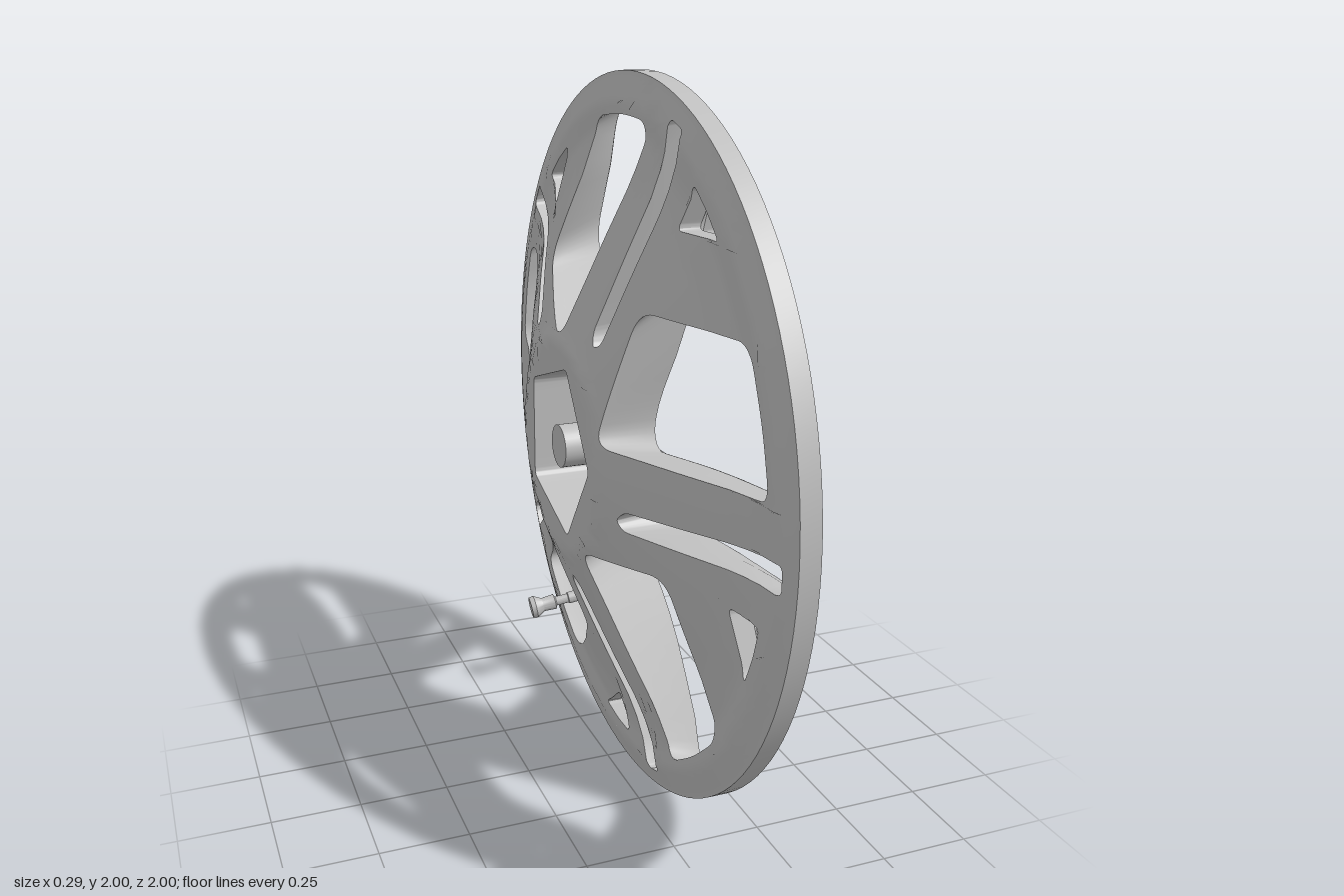
import * as THREE from 'three';
import { toCreasedNormals } from 'three/addons/utils/BufferGeometryUtils.js';

const TAU = Math.PI * 2, STEP = TAU / 5;

// Depth of the dished outer face and of the conical inner face, by radius
const FRONT = [[0, .05], [.27, .05], [.33, .064], [.4, .085], [.5, .106], [.6, .121], [.8, .139], [.94, .136], [1, .115]];
const BACK = [[0, -.15], [.3, -.15], [.33, -.135], [.45, -.092], [.6, -.04], [.75, .015], [.85, .04], [.92, .037], [1, .06]];

function depth(profile, r) {
  for (let i = 1; i < profile.length; i++) {
    const [r0, d0] = profile[i - 1], [r1, d1] = profile[i];
    if (r <= r1) return d0 + (d1 - d0) * (r - r0) / (r1 - r0);
  }
  return profile[profile.length - 1][1];
}

// Closed outline with rounded corners; equal corner counts give equal point counts
function outline(corners, radius) {
  const pts = [], n = corners.length, v = corners.map(c => new THREE.Vector2(...c));
  const toward = (a, b) => a.clone().lerp(b, Math.min(radius / a.distanceTo(b), .42));
  for (let i = 0; i < n; i++) {
    const a = v[(i + n - 1) % n], b = v[i], c = v[(i + 1) % n];
    const start = toward(b, a), end = toward(b, c), next = toward(c, b);
    const bend = new THREE.QuadraticBezierCurve(start, b, end);
    pts.push(...bend.getPoints(7));
    for (let k = 1; k < 8; k++) pts.push(end.clone().lerp(next, k / 8));
  }
  return pts;
}

function circle(x, y, r, n) {
  return Array.from({ length: n }, (_, i) =>
    new THREE.Vector2(x + r * Math.cos(i / n * TAU), y + r * Math.sin(i / n * TAU)));
}

function spin(pts, angle) {
  const o = new THREE.Vector2();
  return pts.map(p => p.clone().rotateAround(o, angle));
}

// Pierced disc, refined and then bent to a depth profile
function face(contour, holes, profile, facing) {
  const all = [contour, ...holes].flat();
  let tris = THREE.ShapeUtils.triangulateShape(contour, holes).map(t => t.map(i => all[i]));
  const mid = (a, b) => a.clone().add(b).multiplyScalar(.5);
  const LIMIT = .08;
  for (let pass = 0; pass < 8; pass++) {
    const next = [];
    for (const [p, q, s] of tris) {
      const t = [p, q, s], long = t.map((a, i) => a.distanceTo(t[(i + 1) % 3]) > LIMIT);
      const count = long.filter(Boolean).length;
      if (count === 0) { next.push(t); continue; }
      const m = t.map((a, i) => mid(a, t[(i + 1) % 3]));
      if (count === 3) {
        next.push([t[0], m[0], m[2]], [m[0], t[1], m[1]], [m[2], m[1], t[2]], m);
        continue;
      }
      // turn the triangle so that its first edge is split (and its second, if two are)
      const k = count === 1 ? long.indexOf(true) : (long.indexOf(false) + 1) % 3;
      const a = t[k], b = t[(k + 1) % 3], c = t[(k + 2) % 3], ab = m[k], bc = m[(k + 1) % 3];
      if (count === 1) next.push([a, ab, c], [ab, b, c]);
      else next.push([ab, b, bc], [a, ab, bc], [a, bc, c]);
    }
    tris = next;
  }
  const pos = [], nor = [], h = .015;
  for (const t of tris) {
    const ccw = (t[1].x - t[0].x) * (t[2].y - t[0].y) - (t[1].y - t[0].y) * (t[2].x - t[0].x) > 0;
    for (const p of (ccw === facing > 0 ? t : [t[0], t[2], t[1]])) {
      const r = p.length();
      const slope = (depth(profile, r + h) - depth(profile, Math.max(r - h, 0))) / (2 * h);
      const n = new THREE.Vector3(-slope * p.x / (r || 1), -slope * p.y / (r || 1), 1).normalize().multiplyScalar(facing);
      pos.push(p.x, p.y, depth(profile, r));
      nor.push(n.x, n.y, n.z);
    }
  }
  const g = new THREE.BufferGeometry();
  g.setAttribute('position', new THREE.Float32BufferAttribute(pos, 3));
  g.setAttribute('normal', new THREE.Float32BufferAttribute(nor, 3));
  return g;
}

// Wall of an opening; steps are [outline blend, depth blend] from outer to inner face
function wall(front, back, steps, frontProfile = FRONT) {
  const pos = [], idx = [], n = front.length;
  for (const [s, d] of steps) {
    for (let j = 0; j < n; j++) {
      const f = front[j], b = back[j], p = f.clone().lerp(b, s);
      const z0 = depth(frontProfile, f.length()), z1 = depth(BACK, b.length());
      pos.push(p.x, p.y, z0 + (z1 - z0) * d);
    }
  }
  for (let i = 0; i < steps.length - 1; i++) {
    for (let j = 0; j < n; j++) {
      const a = i * n + j, b = i * n + (j + 1) % n;
      idx.push(a, b, a + n, b, b + n, a + n);
    }
  }
  const g = new THREE.BufferGeometry();
  g.setAttribute('position', new THREE.Float32BufferAttribute(pos, 3));
  g.setIndex(idx);
  return toCreasedNormals(g, .6);
}

// Turned part whose axis is the wheel axle
function turned(points, segments = 32) {
  const g = new THREE.LatheGeometry(points.map(p => new THREE.Vector2(...p)), segments);
  return toCreasedNormals(g.rotateX(Math.PI / 2), .6);
}

// One set of openings; it repeats five times around the wheel
const OPENINGS = [
  {
    name: 'windowWall', radius: [.085, .06],
    front: [[-.203, .037], [-.337, .56], [-.765, .535], [-.895, .34], [-.95, .09]],
    back: [[-.289, .086], [-.353, .444], [-.775, .444], [-.85, .27], [-.893, .107]],
    steps: [[0, 0], [.1, .05], [.8, .8], [1, 1]],
  },
  {
    name: 'spokeSlotWall', radius: [.03, .02],
    front: [[-.97, -.125], [-.38, -.13], [-.33, -.075], [-.4, -.012], [-.97, .005]],
    back: [[-.95, -.085], [-.39, -.115], [-.365, -.09], [-.4, -.06], [-.95, -.01]],
    steps: [[0, 0], [.6, .3], [1, 1]],
  },
  {
    name: 'trianglePocketWall', radius: [.025, .02],
    front: [[-.945, -.155], [-.915, -.31], [-.8, -.5], [-.711, -.177]],
    back: [[-.866, -.2], [-.84, -.285], [-.8, -.37], [-.743, -.193]],
    steps: [[0, 0], [.15, .35], [1, .5], [1, 1]],
  },
];

export function createModel() {
  const metal = new THREE.MeshStandardMaterial({ color: 0xc0c0c0, side: THREE.DoubleSide });
  metal.name = 'silver';
  const wheel = new THREE.Group();
  wheel.name = 'wheel';
  const add = (name, geometry) => {
    const mesh = new THREE.Mesh(geometry, metal);
    mesh.name = name;
    wheel.add(mesh);
    return mesh;
  };

  const rim = circle(0, 0, 1, 120), frontHoles = [], backHoles = [];

  // Walls of the windows, spoke slots and triangular pockets
  for (const o of OPENINGS) {
    const f = outline(o.front, o.radius[0]), b = outline(o.back, o.radius[1]);
    const g = wall(f, b, o.steps);
    for (let k = 0; k < 5; k++) {
      add(o.name, g).rotation.z = k * STEP;
      frontHoles.push(spin(f, k * STEP));
      backHoles.push(spin(b, k * STEP));
    }
  }

  // Bolt pockets with nuts
  const nut = turned([[.058, .05], [.05, .044], [.046, -.02], [.036, -.02], [.036, .03], [.03, .038],
    [.02, .038], [.017, .015], [.009, .015], [.009, .025], [0, .025]], 24);
  for (let k = 0; k < 5; k++) {
    const a = -Math.PI / 2 + k * STEP, x = .205 * Math.cos(a), y = .205 * Math.sin(a);
    add('boltPocket', nut).position.set(x, y, 0);
    frontHoles.push(circle(x, y, .058, 24));
  }

  // Pentagonal hollow behind the hub
  const corners = Array.from({ length: 5 }, (_, k) => [.25 * Math.cos(Math.PI / 5 + k * STEP), .25 * Math.sin(Math.PI / 5 + k * STEP)]);
  const hollow = outline(corners, .02), floor = [[0, .02], [1, .02]];
  backHoles.push(hollow);
  add('hubHollowWall', wall(hollow, hollow, [[0, 0], [1, 1]], floor));
  add('hubHollowFloor', face(hollow, [], floor, -1));

  // Outer face, inner face and rim edge
  add('outerFace', face(rim, frontHoles, FRONT, 1));
  add('innerFace', face(rim, backHoles, BACK, -1));
  const edge = [...rim].reverse();
  add('rimEdge', wall(edge, edge, [[0, 0], [1, 1]]));

  // Centre cap and the stub behind it
  add('centreCap', turned([[.112, .03], [.112, .052], [.104, .057], [.06, .062], [0, .064]], 40));
  add('centreStub', turned([[0, -.145], [.06, -.145], [.06, .03]]));

  // Valve, leaning slightly towards the axle
  const valve = add('valve', turned([[0, -.075], [.034, -.075], [.036, -.06], [.022, -.035], [.025, .005],
    [.015, .01], [.015, .05], [.019, .052], [.019, .085], [0, .088]], 20));
  valve.position.set(.505, -.71, 0);
  valve.rotation.set(-.18, -.12, 0);

  // Turn the axle onto x and stand the wheel on the ground
  wheel.rotation.y = Math.PI / 2;
  wheel.position.y = 1;
  const model = new THREE.Group();
  model.name = 'alloyWheel';
  model.add(wheel);
  return model;
}
